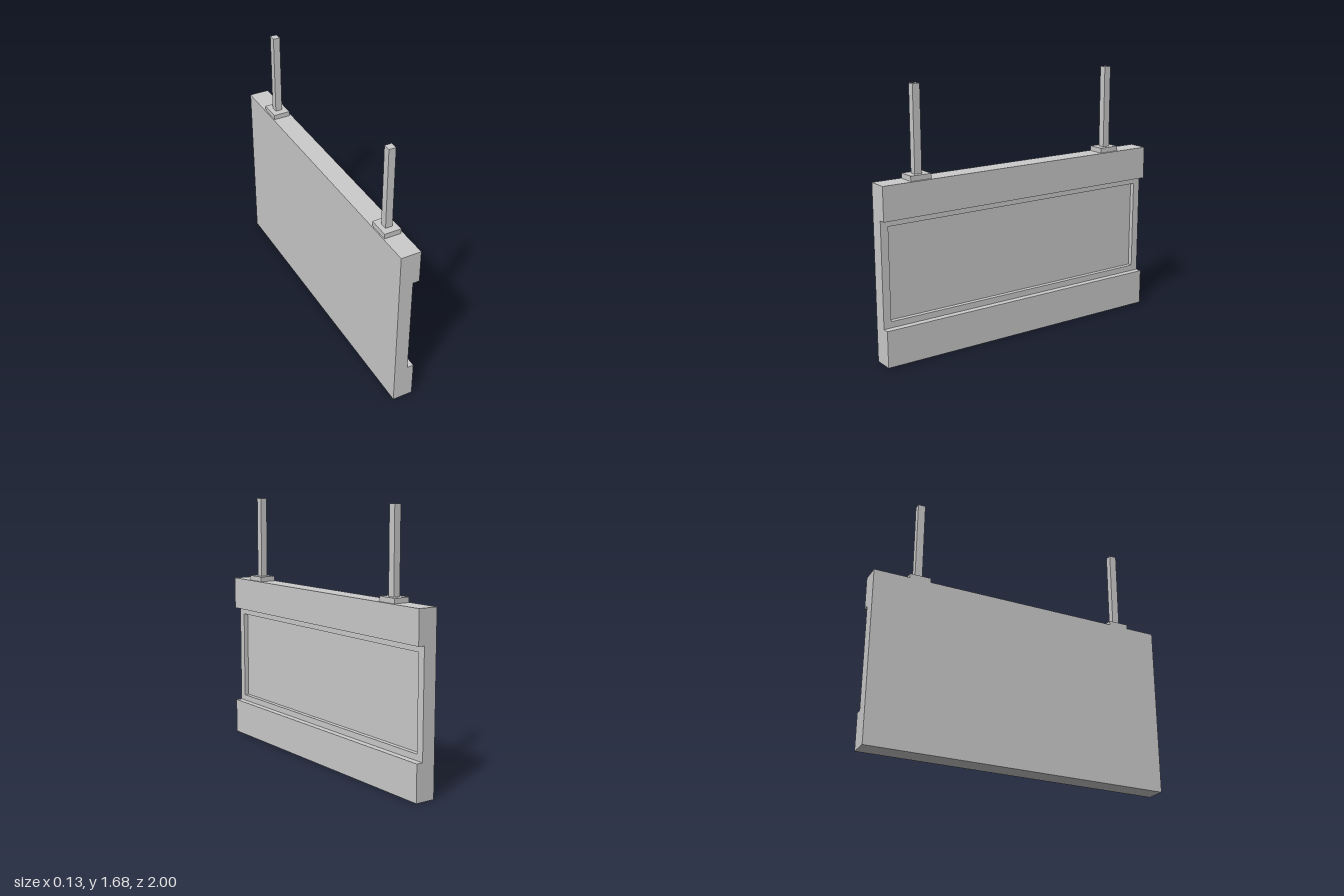
import * as THREE from 'three';

const HALF = 0.065;                     // half the board thickness
const RECESS_X = -0.007, FRAME_X = 0.023; // depths of the sunken panel and its frame
const HEIGHT = 1.115, RAIL_LOW = 0.233, RAIL_HIGH = 0.902;

export function createModel() {
  const model = new THREE.Group();
  model.name = 'hangingSign';
  const material = new THREE.MeshStandardMaterial({ color: 0xcccccc, flatShading: true });

  const add = (name, geometry) => {
    const mesh = new THREE.Mesh(geometry, material);
    mesh.name = name;
    model.add(mesh);
    return mesh;
  };

  // Box given by its lower and upper limits on each axis
  const box = (name, [x0, x1], [y0, y1], [z0, z1]) =>
    add(name, new THREE.BoxGeometry(x1 - x0, y1 - y0, z1 - z0))
      .position.set((x0 + x1) / 2, (y0 + y1) / 2, (z0 + z1) / 2);

  // Board: back slab with thick rails along the bottom and top
  box('backBoard', [-HALF, RECESS_X], [0, HEIGHT], [-1, 1]);
  box('bottomRail', [RECESS_X, HALF], [0, RAIL_LOW], [-1, 1]);
  box('topRail', [RECESS_X, HALF], [RAIL_HIGH, HEIGHT], [-1, 1]);

  // Thin frame around the sunken panel
  const rectangle = (Type, w, y0, y1) => new Type([
    new THREE.Vector2(-w, y0), new THREE.Vector2(w, y0),
    new THREE.Vector2(w, y1), new THREE.Vector2(-w, y1),
  ]);
  const frame = rectangle(THREE.Shape, 1, RAIL_LOW, RAIL_HIGH);
  frame.holes.push(rectangle(THREE.Path, 0.95, 0.272, 0.86));
  const frameGeometry = new THREE.ExtrudeGeometry(frame, {
    depth: FRAME_X - RECESS_X, bevelEnabled: false,
  });
  frameGeometry.rotateY(Math.PI / 2);
  add('panelFrame', frameGeometry).position.x = RECESS_X;

  // Hanging posts on square mounting plates
  for (const [side, z] of [['front', 0.738], ['back', -0.698]]) {
    box(`${side}MountingPlate`, [-0.058, 0.051], [HEIGHT, 1.147], [z - 0.069, z + 0.069]);
    box(`${side}Post`, [-0.026, 0.019], [1.147, 1.678], [z - 0.024, z + 0.024]);
  }

  return model;
}
